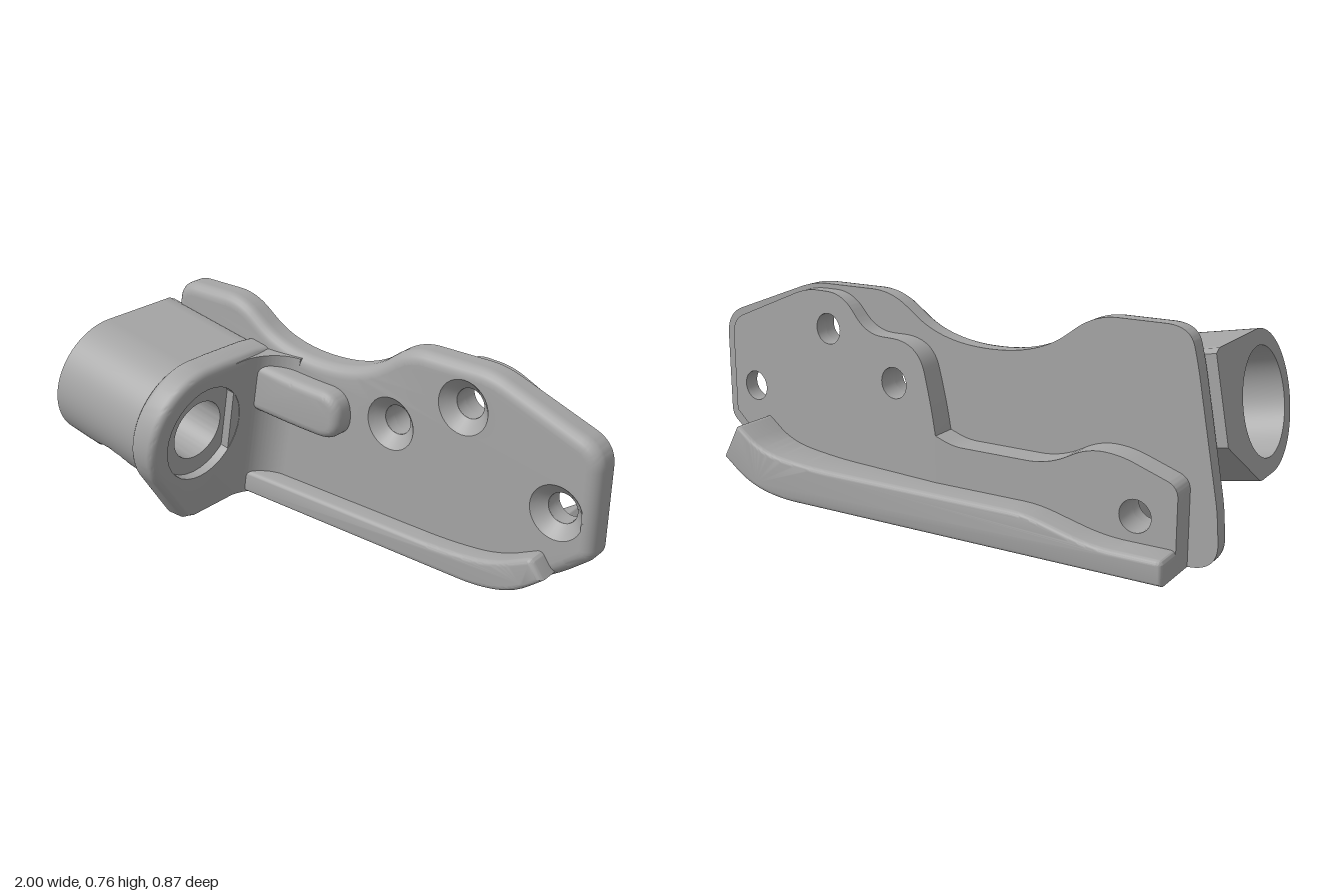
import * as THREE from 'three';
import { toCreasedNormals } from 'three/addons/utils/BufferGeometryUtils.js';

const HOLES = [[0.86, 0.35], [0.48, 0.615], [0.18, 0.465], [-0.74, 0.17]];
const HOLE_R = 0.055;

// Closed outline from [x, y, cornerRadius] points
function outline(pts, Type = THREE.Shape) {
  const s = new Type();
  const n = pts.length;
  pts.forEach(([x, y, r = 0], i) => {
    const p = new THREE.Vector2(x, y);
    const toward = (q) => {
      const d = new THREE.Vector2(q[0] - x, q[1] - y);
      return p.clone().addScaledVector(d.clone().normalize(), Math.min(r, d.length() * 0.499));
    };
    const a = toward(pts[(i + n - 1) % n]);
    const b = toward(pts[(i + 1) % n]);
    if (i === 0) s.moveTo(a.x, a.y); else s.lineTo(a.x, a.y);
    if (r > 0) s.quadraticCurveTo(x, y, b.x, b.y);
  });
  s.closePath();
  return s;
}

function addHole(shape, x, y, r) {
  const h = new THREE.Path();
  h.absarc(x, y, r, 0, Math.PI * 2, true);
  shape.holes.push(h);
}

// Slab between z0 and z1 whose edges are rounded by b
function slab(shape, z0, z1, b = 0) {
  const g = new THREE.ExtrudeGeometry(shape, {
    depth: z1 - z0 - 2 * b, bevelEnabled: b > 0, bevelThickness: b, bevelSize: b,
    bevelOffset: -b, bevelSegments: 5, curveSegments: 16,
  });
  return g.translate(0, 0, z0 + b);
}

// Move every vertex by a rule
function warp(g, rule) {
  const p = g.attributes.position;
  const v = new THREE.Vector3();
  for (let i = 0; i < p.count; i++) {
    v.fromBufferAttribute(p, i);
    rule(v);
    p.setXYZ(i, v.x, v.y, v.z);
  }
  return g;
}

// Tilted socket with a stepped bore, a web on its rear side and a scallop underneath
function socketGeometry() {
  const N = 96, L = 0.5, step = 0.3, R = 0.24;
  const us = [0, 0.139, 0.141, 0.15, 0.165, 0.185, 0.21, 0.25, 0.29, 0.3, 0.315, 0.335, 0.35, 0.359, 0.361, L];
  const floor = (u) => {
    const d = 0.11 ** 2 - (u - 0.25) ** 2;
    return d > 0 ? -0.24 + Math.sqrt(d) : -1;
  };
  const outer = (c, s) => {
    if (c >= 0) return R;
    let r = Math.min(0.34 / -c, R / Math.max(Math.abs(s), 1e-6));
    const k = -0.6 * c - 0.8 * s;
    if (s < 0 && k > 0) r = Math.min(r, 0.26 / k);
    return r;
  };
  const rings = [];
  const ring = (u, radius, lift) => {
    const row = [];
    for (let i = 0; i <= N; i++) {
      const t = (i / N) * Math.PI * 2, c = Math.cos(t), s = Math.sin(t);
      const r = radius(c, s);
      row.push([u, Math.max(r * s, floor(u) + lift), r * c]);
    }
    rings.push(row);
  };
  const small = () => 0.117, large = () => 0.185;
  ring(L, small, 0);
  ring(step, small, 0);
  us.filter((u) => u <= step).reverse().forEach((u) => ring(u, large, 0.008));
  us.forEach((u) => ring(u, outer, 0));
  ring(L, small, 0);

  const pos = [], idx = [];
  rings.forEach((row) => row.forEach((p) => pos.push(...p)));
  for (let j = 0; j < rings.length - 1; j++) {
    for (let i = 0; i < N; i++) {
      const a = j * (N + 1) + i, b = a + N + 1;
      idx.push(a, b, b + 1, a, b + 1, a + 1);
    }
  }
  const g = new THREE.BufferGeometry();
  g.setAttribute('position', new THREE.Float32BufferAttribute(pos, 3));
  g.setIndex(idx);
  return g;
}

export function createModel() {
  const model = new THREE.Group();
  const metal = new THREE.MeshStandardMaterial({ color: 0xa6a6a6 });
  metal.name = 'grey metal';
  const add = (name, g) => {
    const m = new THREE.Mesh(toCreasedNormals(g, 0.55), metal);
    m.name = name;
    model.add(m);
    return m;
  };

  // Main plate: rounded front layer with countersinks, square rear layer
  const plate = () => {
    const s = outline([
      [-0.985, 0, 0.11], [0.62, 0, 0.08], [0.77, 0.04, 0.08], [0.9, 0.13, 0.04], [1, 0.215, 0.03],
      [1, 0.61, 0.08], [0.58, 0.765, 0.06], [0.24, 0.765, 0.08], [0.03, 0.61, 0.18],
      [-0.33, 0.61, 0.18], [-0.54, 0.765, 0.08], [-0.86, 0.765, 0.08], [-0.89, 0.64, 0.04], [-0.97, 0.2, 0.04],
    ]);
    HOLES.forEach(([x, y]) => addHole(s, x, y, HOLE_R));
    return s;
  };
  add('plateRear', slab(plate(), -0.235, -0.186));
  add('plateFront', warp(slab(plate(), -0.231, -0.14, 0.045), (v) => {
    for (const [x, y] of HOLES) {
      const d = Math.hypot(v.x - x, v.y - y);
      if (d > 0.106) continue;
      const r = HOLE_R + 0.045 * Math.min(1, Math.abs(v.z + 0.1855) / 0.045);
      v.x = x + ((v.x - x) * r) / d;
      v.y = y + ((v.y - y) * r) / d;
    }
  }));

  // Rear pad: level on one half, tapering away on the other
  const padA = outline([
    [-0.88, 0.02], [0, 0.02], [0, 0.31], [-0.07, 0.285, 0.04], [-0.43, 0.285, 0.08],
    [-0.57, 0.36, 0.06], [-0.68, 0.36, 0.06], [-0.88, 0.29, 0.04],
  ]);
  addHole(padA, ...HOLES[3], HOLE_R);
  add('rearPadLevel', slab(padA, -0.33, -0.23));
  const padB = outline([
    [0, 0.02], [0.62, 0.02], [0.8, 0.1], [0.97, 0.24], [0.97, 0.59, 0.06], [0.58, 0.748, 0.06],
    [0.41, 0.748, 0.07], [0.3, 0.62, 0.07], [0.07, 0.62, 0.12], [0.02, 0.42, 0.08], [0, 0.31],
  ]);
  HOLES.slice(0, 3).forEach(([x, y]) => addHole(padB, x, y, HOLE_R));
  add('rearPadTapered', warp(slab(padB, -0.33, -0.23), (v) => {
    if (v.z < -0.3) v.z += 0.09 * (v.x / 0.97);
  }));

  // Bottom rail behind the plate and lip in front of it
  add('rearRail', slab(outline([
    [-0.88, 0], [0.62, 0, 0.08], [0.76, 0.035, 0.08], [0.87, 0.12], [0.8, 0.25, 0.02],
    [0.68, 0.165, 0.1], [0.46, 0.145, 0.1], [-0.4, 0.145, 0.06], [-0.64, 0.085, 0.08], [-0.88, 0.085, 0.02],
  ]), -0.435, -0.2, 0.018));
  add('frontLip', slab(outline([
    [-0.52, 0], [0.62, 0, 0.08], [0.76, 0.035, 0.08], [0.87, 0.125], [0.82, 0.195, 0.02],
    [0.66, 0.115, 0.1], [0.45, 0.093, 0.1], [-0.52, 0.093],
  ]), -0.22, -0.065, 0.02));

  // Raised rounded bump beside the collar
  add('bump', slab(outline([
    [-0.44, 0.37], [-0.22, 0.355, 0.08], [0, 0.35, 0.1], [0, 0.535, 0.1], [-0.18, 0.54, 0.08], [-0.44, 0.565],
  ]), -0.2, -0.062, 0.035));

  // Tilted socket
  const socket = add('socket', socketGeometry());
  socket.position.set(-0.955, 0.45, 0.18);
  socket.rotation.z = -0.18;

  // Collar around the socket mouth, leaning with it and cut flat at the base
  const arc = new THREE.Shape();
  arc.moveTo(0.2, -0.04);
  arc.lineTo(0.2, 0.6);
  arc.lineTo(0.08, 0.615);
  arc.lineTo(-0.1, 0.62);
  arc.absarc(-0.18, 0.36, 0.26, Math.PI / 2, Math.PI + 0.56, false);
  arc.lineTo(-0.235, 0);
  arc.lineTo(-0.21, -0.04);
  arc.closePath();
  addHole(arc, -0.18, 0.36, 0.185);
  const collar = warp(slab(arc, 0, 0.12, 0.03), (v) => {
    const dx = v.x + 0.18, dy = v.y - 0.36, d = Math.hypot(dx, dy);
    if (d < 0.222) {
      v.x = -0.18 + (dx * 0.185) / d;
      v.y = 0.36 + (dy * 0.185) / d;
    }
  });
  collar.rotateY(Math.PI / 2);
  add('collar', warp(collar, (v) => {
    v.y = Math.max(0, v.y);
    v.y -= 0.18 * (v.x - 0.1) * Math.min(1, v.y / 0.2);
    v.x += -0.61 + 0.175 * v.y;
  }));

  // Concave fillet joining the collar to the plate
  const f = new THREE.Shape();
  f.moveTo(-0.06, 0.2);
  f.lineTo(-0.06, -0.02);
  f.lineTo(0, -0.02);
  f.absarc(0.15, 0.01, 0.15, Math.PI, Math.PI / 2, true);
  f.lineTo(0.15, 0.2);
  f.closePath();
  const fillet = slab(f, 0, 0.6);
  fillet.rotateX(-Math.PI / 2);
  add('collarFillet', warp(fillet, (v) => {
    v.x += -0.492 + 0.175 * v.y;
    v.z += 0.02;
  }));

  return model;
}
